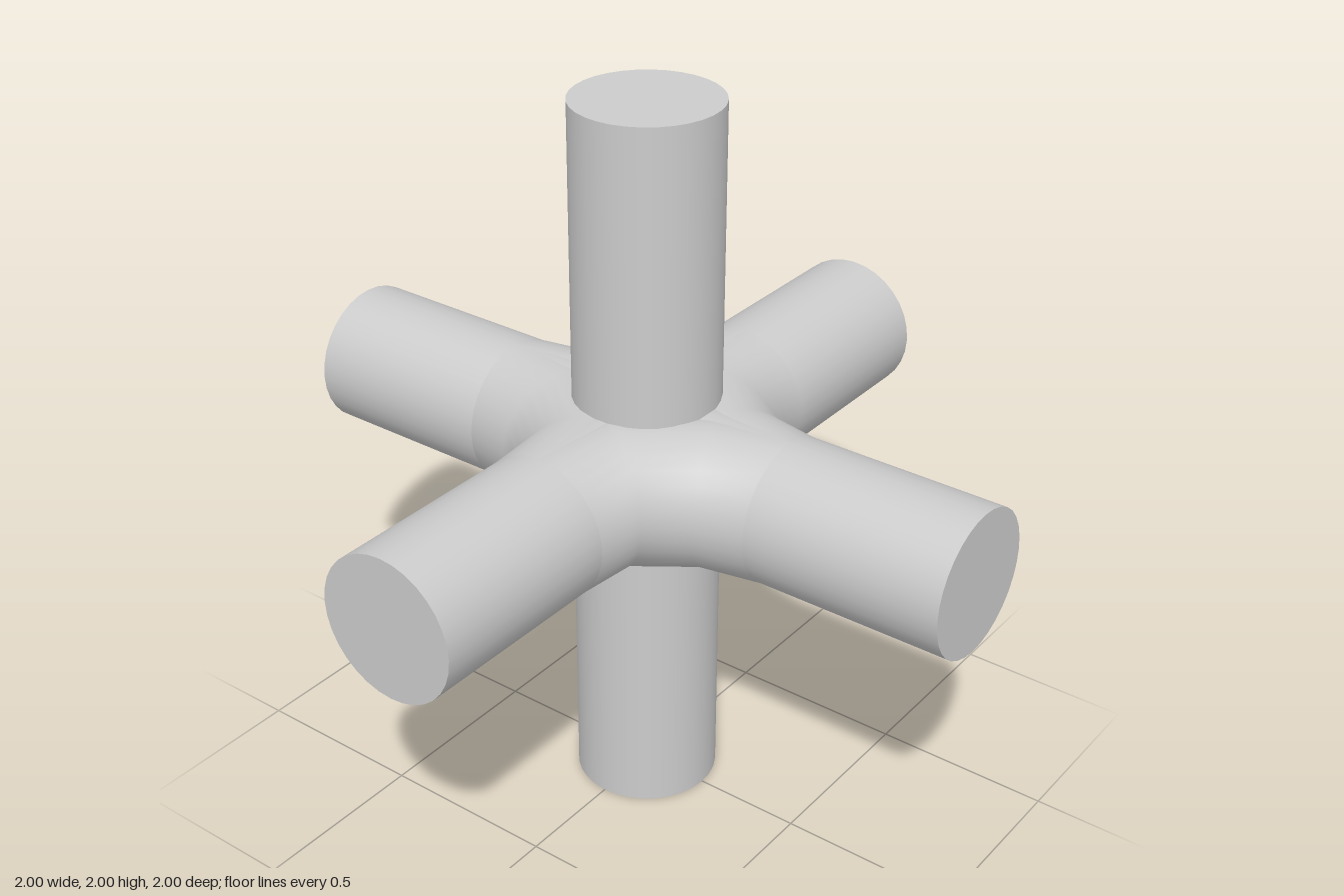
import * as THREE from 'three';

const R = 0.197, SIDES = 32, MID = 1;
const material = new THREE.MeshStandardMaterial({ color: 0xcccccc });

// Straight round bar of full length
function bar(name) {
  const mesh = new THREE.Mesh(new THREE.CylinderGeometry(R, R, 2, SIDES), material);
  mesh.name = name;
  mesh.position.y = MID;
  return mesh;
}

// Curved pipe blending two level arms: rings given by inner point and facing angle
const rings = [
  [0.197, 0.445, 0],
  [0.225, 0.31, 22],
  [0.295, 0.206, 59],
  [0.44, 0.197, 90],
];

function elbow(sx, sz) {
  const positions = [], index = [];
  rings.forEach(([x, z, degrees], i) => {
    const a = THREE.MathUtils.degToRad(degrees);
    for (let j = 0; j < SIDES; j++) {
      const t = (j / SIDES) * Math.PI * 2;
      const out = R * (Math.cos(t) - 1);
      positions.push(sx * (x + out * Math.cos(a)), MID + R * Math.sin(t), sz * (z + out * Math.sin(a)));
      if (i === rings.length - 1) continue;
      const p = i * SIDES + j, q = i * SIDES + (j + 1) % SIDES;
      const p2 = p + SIDES, q2 = q + SIDES;
      // Mirrored corners need the opposite winding
      if (sx * sz > 0) index.push(p, p2, q, q, p2, q2);
      else index.push(p, q, p2, q, q2, p2);
    }
  });
  const geometry = new THREE.BufferGeometry();
  geometry.setAttribute('position', new THREE.Float32BufferAttribute(positions, 3));
  geometry.setIndex(index);
  geometry.computeVertexNormals();
  const mesh = new THREE.Mesh(geometry, material);
  mesh.name = 'cornerBlend';
  return mesh;
}

export function createModel() {
  const group = new THREE.Group();
  group.name = 'sixWayPipeJoint';

  // Upright post and two crossing level bars
  const post = bar('uprightPost');
  const side = bar('sideBar');
  side.rotation.z = Math.PI / 2;
  const depth = bar('frontBackBar');
  depth.rotation.x = Math.PI / 2;
  group.add(post, side, depth);

  // Four blends in the corners between the level bars
  for (const sx of [-1, 1]) for (const sz of [-1, 1]) group.add(elbow(sx, sz));
  return group;
}
